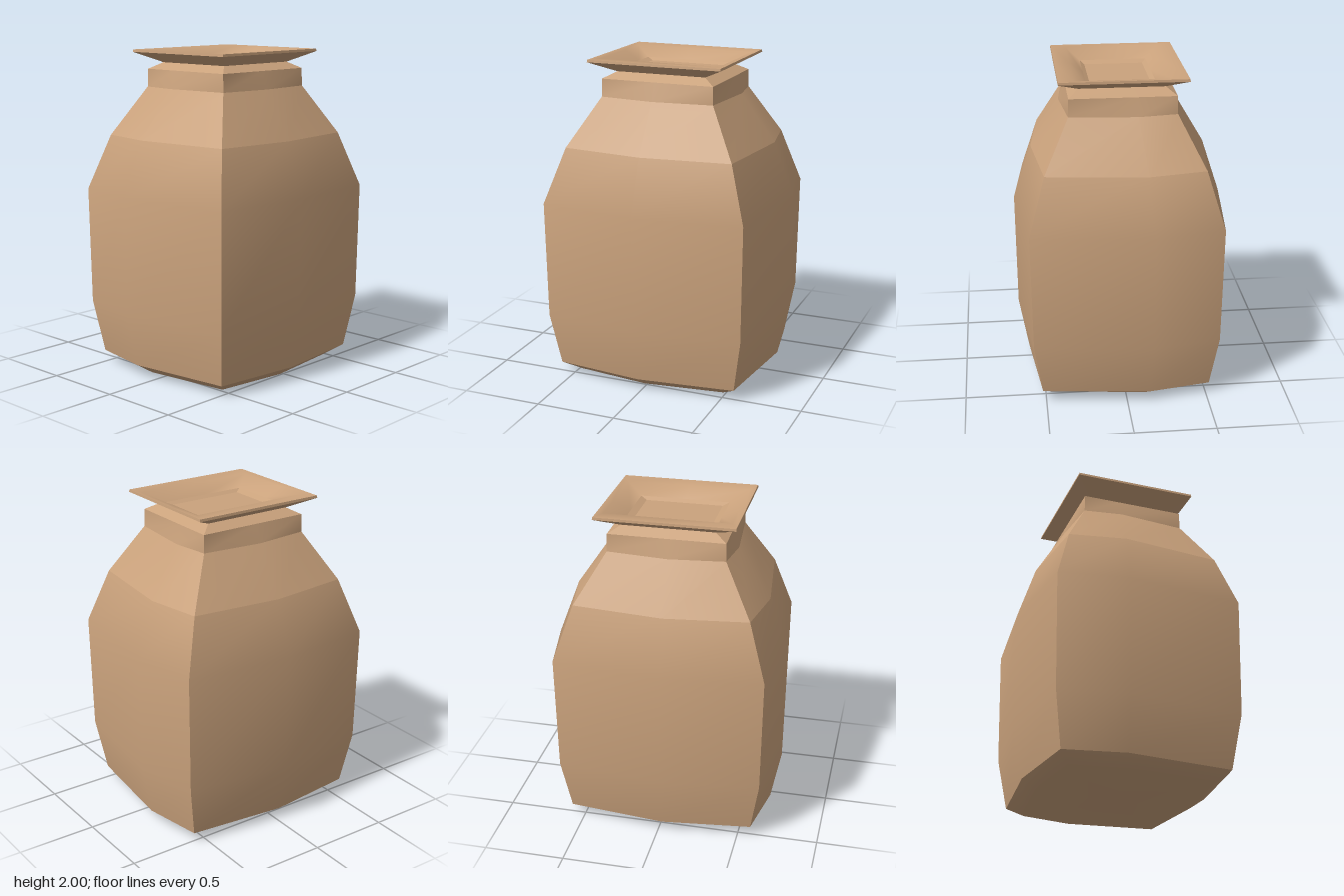
import * as THREE from 'three';
import { mergeGeometries } from 'three/addons/utils/BufferGeometryUtils.js';

// Cross-section: four corners plus one point on each bulged side,
// counterclockwise from above. [y, cornerX, cornerZ, bulgeX, bulgeZ]
function ring([y, cx, cz, mx = cx, mz = cz]) {
  const fx = -0.27 * cx, sz = 0.045 * cz;
  return [
    [cx, y, cz], [mx, y, sz], [cx, y, -cz], [fx, y, -mz],
    [-cx, y, -cz], [-mx, y, sz], [-cx, y, cz], [fx, y, mz],
  ];
}

// Smooth surface through matching rows of points
function skin(rows) {
  const n = rows[0].length, index = [];
  const closed = n === 8;
  for (let i = 0; i < rows.length - 1; i++) {
    for (let j = 0; j < (closed ? n : n - 1); j++) {
      const k = (j + 1) % n;
      const a = i * n + j, b = i * n + k, c = b + n, d = a + n;
      index.push(a, b, c, a, c, d);
    }
  }
  const geo = new THREE.BufferGeometry();
  geo.setAttribute('position', new THREE.Float32BufferAttribute(rows.flat(2), 3));
  geo.setIndex(index);
  geo.computeVertexNormals();
  return geo;
}

// Four separate sides, so the vertical corners stay sharp
function fourSides(profile) {
  const rows = profile.map(ring);
  return mergeGeometries([0, 2, 4, 6].map((s) =>
    skin(rows.map((r) => [r[s], r[s + 1], r[(s + 2) % 8]]))));
}

// One loop with rounded shading around the corners
const roundLoop = (profile) => skin(profile.map(ring));

export function createModel() {
  const group = new THREE.Group();
  const clay = new THREE.MeshStandardMaterial({ color: 0xcaa27c });
  clay.name = 'clay';
  const add = (name, geo) => {
    const mesh = new THREE.Mesh(geo, clay);
    mesh.name = name;
    group.add(mesh);
  };

  const foot = [0.067, 0.52, 0.58, 0.585, 0.65];
  const shoulderLow = [1.47, 0.48, 0.535, 0.54, 0.6];
  const shoulderTop = [1.77, 0.325, 0.36, 0.363, 0.395];
  const neckTop = [1.88, 0.322, 0.358];
  const throat = [1.92, 0.26, 0.285];
  const lipLow = [1.985, 0.385, 0.427];
  const lipTop = [2, 0.383, 0.425];
  const basinLow = [1.936, 0.208, 0.28];
  const basinFloor = [1.92, 0.182, 0.24];

  // Underside, rounding into the bevelled foot
  add('base', roundLoop([[0, 0, 0], [0, 0.43, 0.48, 0.49, 0.545], foot]));

  // Bulging body
  add('body', fourSides([
    foot,
    [0.4, 0.57, 0.635, 0.645, 0.715],
    [1.13, 0.58, 0.645, 0.652, 0.725],
    shoulderLow,
  ]));
  add('shoulder', fourSides([shoulderLow, shoulderTop]));

  // Neck and its sloped top
  add('neck', fourSides([shoulderTop, neckTop]));
  add('neckSlope', fourSides([neckTop, throat]));

  // Flared square lip
  add('lipUnderside', fourSides([throat, lipLow]));
  add('lipEdge', fourSides([lipLow, lipTop]));

  // Shallow basin sunk into the lip
  add('basinRim', roundLoop([lipTop, [1.995, 0.29, 0.385], basinLow]));
  add('basinWall', fourSides([basinLow, basinFloor]));
  add('basinFloor', roundLoop([basinFloor, [1.92, 0, 0]]));

  return group;
}
